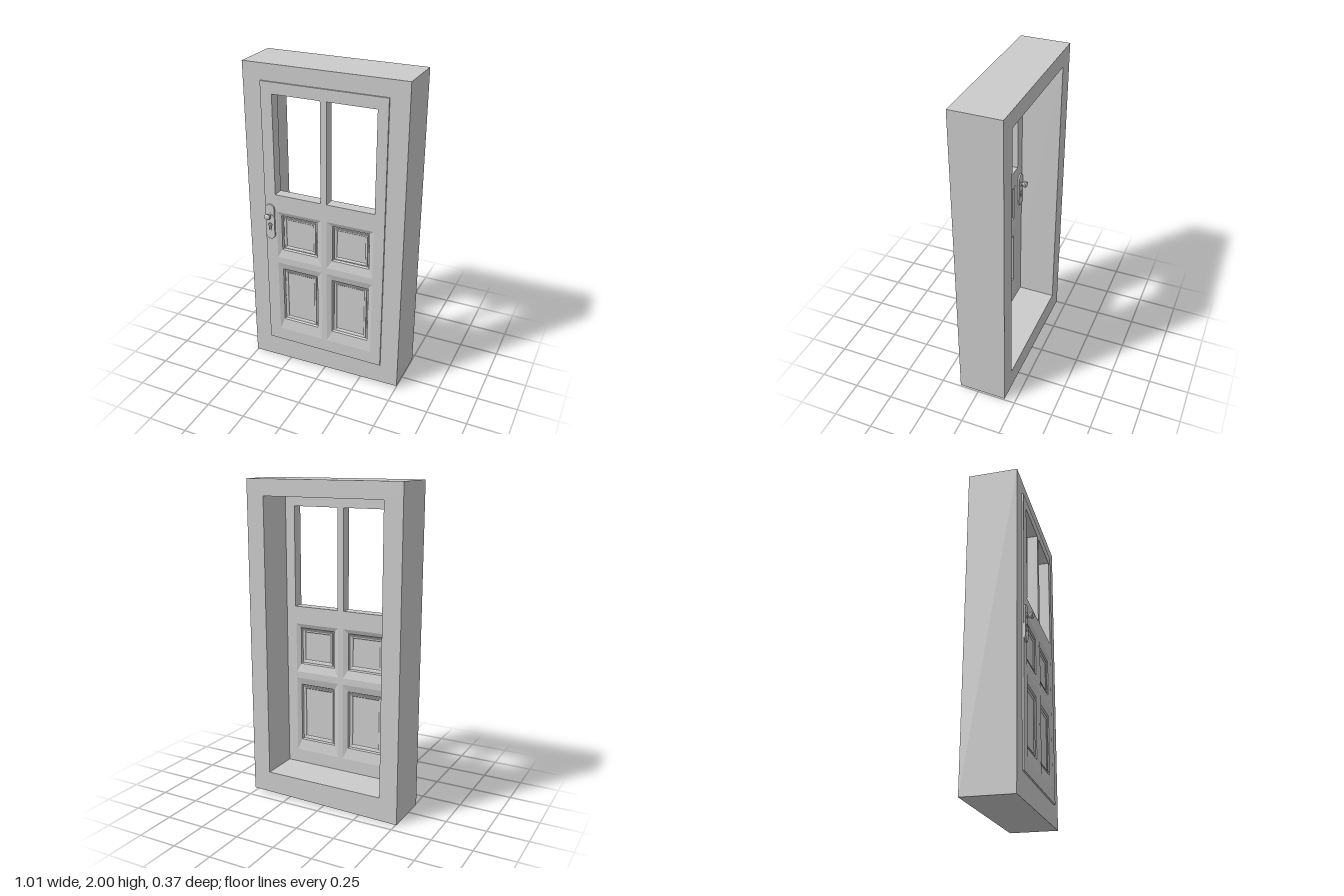
import * as THREE from 'three';

const HALF = 0.035; // half the door leaf's thickness
const LEAF_Z = 0.095, LEAF_X = 0.005;

const material = () => new THREE.MeshStandardMaterial({ color: 0xcccccc, flatShading: true });

function addMesh(parent, name, geometry) {
  const mesh = new THREE.Mesh(geometry, material());
  mesh.name = name;
  parent.add(mesh);
  return mesh;
}

function rectPath(x0, x1, y0, y1, PathType = THREE.Path) {
  return new PathType([[x0, y0], [x1, y0], [x1, y1], [x0, y1]].map(([x, y]) => new THREE.Vector2(x, y)));
}

// Round keyhole with a slot below it
function keyholePath(x, y) {
  const p = new THREE.Path();
  p.absarc(x, y, 0.011, -Math.PI * 0.35, Math.PI * 1.35, false);
  p.lineTo(x - 0.006, y - 0.034);
  p.lineTo(x + 0.006, y - 0.034);
  p.closePath();
  return p;
}

// Nested rectangles [x0, x1, y0, y1, z] joined into a stepped panel, the last one capped
function steppedPanel(rects) {
  const rings = rects.map(([x0, x1, y0, y1, z]) => [[x0, y0, z], [x1, y0, z], [x1, y1, z], [x0, y1, z]]);
  const pos = [];
  const quad = (a, b, c, d) => pos.push(...a, ...b, ...c, ...a, ...c, ...d);
  for (let i = 0; i + 1 < rings.length; i++) {
    for (let k = 0; k < 4; k++) {
      const n = (k + 1) % 4;
      quad(rings[i][k], rings[i][n], rings[i + 1][n], rings[i + 1][k]);
    }
  }
  quad(...rings[rings.length - 1]);
  const g = new THREE.BufferGeometry();
  g.setAttribute('position', new THREE.Float32BufferAttribute(pos, 3));
  g.computeVertexNormals();
  return g;
}

// Outer edge and inner edge of the sloped surround (left-hand panels)
const PANELS = [
  { name: 'upperPanel', outer: [-0.318, -0.017, 0.775, 1.092], inner: [-0.29, -0.05, 0.828, 1.065] },
  { name: 'lowerPanel', outer: [-0.318, -0.017, 0.235, 0.733], inner: [-0.29, -0.05, 0.308, 0.688] },
];
const WINDOW = [-0.322, -0.02, 1.205, 1.83];
const mirrorRect = ([x0, x1, y0, y1]) => [-x1, -x0, y0, y1];
const inset = ([x0, x1, y0, y1], d) => [x0 + d, x1 - d, y0 + d, y1 - d];

// Surround frame with a slightly sloping foot
function addFrame(parent) {
  const shape = new THREE.Shape();
  shape.moveTo(-0.505, 0);
  shape.lineTo(0.505, 0.018);
  shape.lineTo(0.505, 2);
  shape.lineTo(-0.505, 2);
  shape.closePath();
  shape.holes.push(rectPath(-0.39, 0.39, 0.15, 1.9));
  const g = new THREE.ExtrudeGeometry(shape, { depth: 0.305, bevelEnabled: false });
  addMesh(parent, 'doorFrame', g.translate(0, 0, -0.185));
}

// Lock plate and knob, facing +z
function createHandle() {
  const handle = new THREE.Group();
  const plate = new THREE.Shape();
  plate.absarc(0, 1.105, 0.031, 0, Math.PI, false);
  plate.absarc(0, 0.932, 0.031, Math.PI, Math.PI * 2, false);
  plate.closePath();
  plate.holes.push(keyholePath(0, 0.998));
  const g = new THREE.ExtrudeGeometry(plate, {
    depth: 0.006, bevelThickness: 0.005, bevelSize: 0.004, bevelOffset: -0.004, bevelSegments: 2, curveSegments: 10,
  });
  addMesh(handle, 'lockPlate', g.translate(0, 0, HALF));

  const profile = [[0.018, 0], [0.018, 0.003], [0.01, 0.006], [0.01, 0.013], [0.018, 0.022],
    [0.021, 0.028], [0.019, 0.036], [0.012, 0.041], [0, 0.043]];
  const knob = addMesh(handle, 'knob', new THREE.LatheGeometry(profile.map(([r, h]) => new THREE.Vector2(r, h)), 12));
  knob.rotation.x = Math.PI / 2;
  knob.position.set(0, 1.065, HALF + 0.01);
  return handle;
}

export function createModel() {
  const model = new THREE.Group();
  model.name = 'door';
  addFrame(model);

  const leaf = new THREE.Group();
  leaf.name = 'doorLeaf';
  leaf.position.set(LEAF_X, 0, LEAF_Z);
  model.add(leaf);

  // Leaf slab, cut for the windows, the panels and the keyhole
  const slab = rectPath(-0.39 - LEAF_X, 0.39 - LEAF_X, 0.15, 1.9, THREE.Shape);
  for (const r of [WINDOW, ...PANELS.map((p) => p.outer)]) {
    slab.holes.push(rectPath(...r), rectPath(...mirrorRect(r)));
  }
  slab.holes.push(keyholePath(-0.36, 0.998));
  const g = new THREE.ExtrudeGeometry(slab, { depth: HALF * 2, bevelEnabled: false });
  addMesh(leaf, 'leafSlab', g.translate(0, 0, -HALF));

  for (const [side, turn] of [['front', 0], ['back', Math.PI]]) {
    // Four recessed panels per side
    const face = new THREE.Group();
    face.name = side + 'Panels';
    face.rotation.y = turn;
    leaf.add(face);
    for (const { name, outer, inner } of PANELS) {
      for (const place of [(r) => r, mirrorRect]) {
        const steps = [
          [outer, 0], [inner, 0.012], [inset(inner, 0.006), 0.024], [inset(inner, 0.012), 0.024],
          [inset(inner, 0.014), 0.017], [inset(inner, 0.024), 0.019], [inset(inner, 0.028), 0.023],
        ];
        addMesh(face, name, steppedPanel(steps.map(([r, d]) => [...place(r), HALF - d])));
      }
    }
    // Handle on each side of the leaf
    const handle = createHandle();
    handle.name = side + 'Handle';
    handle.position.x = -0.36;
    handle.rotation.y = turn;
    leaf.add(handle);
  }
  return model;
}
